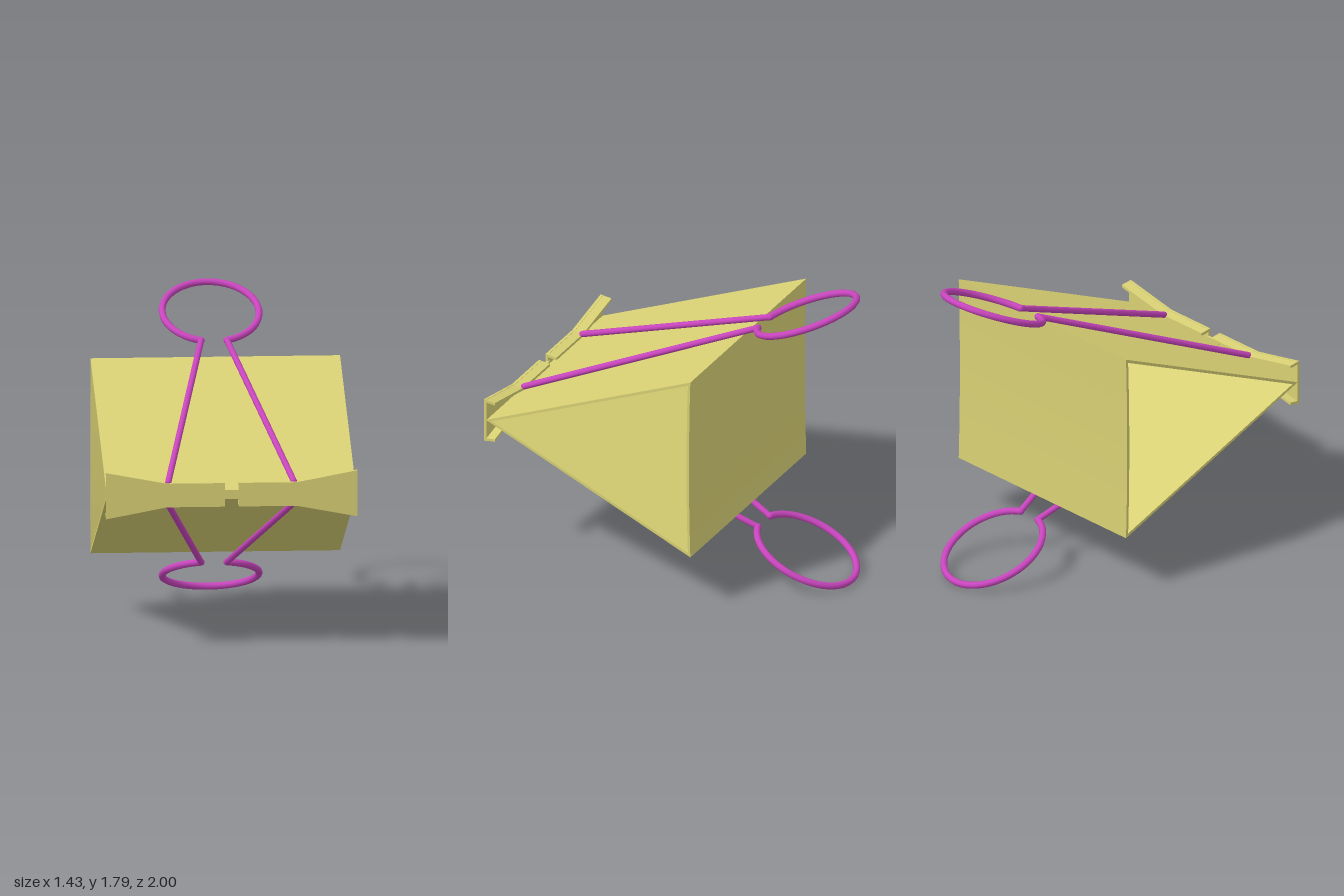
import * as THREE from 'three';

const MID = 0.896; // height of the symmetry plane
const yellow = new THREE.MeshStandardMaterial({ color: 0xd8d074, flatShading: true });
const purple = new THREE.MeshStandardMaterial({ color: 0xc845bd });

function mesh(name, geometry, material) {
  const m = new THREE.Mesh(geometry, material);
  m.name = name;
  return m;
}

// Triangular sheet-metal sleeve, open at both sides, with a slightly bowed back
function sleeve() {
  const outer = new THREE.Shape();
  outer.moveTo(0.99, 0);
  outer.lineTo(-0.32, 0.562);
  outer.quadraticCurveTo(-0.302, 0, -0.32, -0.562);
  outer.closePath();
  const inner = new THREE.Path();
  inner.moveTo(0.951, 0);
  inner.lineTo(-0.304, 0.537);
  inner.quadraticCurveTo(-0.286, 0, -0.304, -0.537);
  inner.closePath();
  outer.holes.push(inner);
  const g = new THREE.ExtrudeGeometry(outer, { depth: 1.42, bevelEnabled: false, curveSegments: 8 });
  g.translate(0, 0, -0.71).rotateY(-Math.PI / 2);
  return mesh('sleeve', g, yellow);
}

// Half height of the flared lip at a distance x from the middle
const lipHeight = (x) => 0.068 + Math.max(0, x - 0.37) * 0.188;

// One half of the lip: a front plate with a flange folded back along each edge
function lipHalf() {
  const group = new THREE.Group();
  const xs = [0.04, 0.37, 0.715];
  const t = 0.016;
  const bar = (name, depth, place) => {
    const g = new THREE.BoxGeometry(2, 2, depth, 2, 1, 1);
    const p = g.attributes.position;
    for (let i = 0; i < p.count; i++) {
      const x = xs[Math.round(p.getX(i)) + 1];
      p.setXYZ(i, x, place(p.getY(i), lipHeight(x), p.getZ(i)), p.getZ(i) + 1 - depth / 2);
    }
    g.computeVertexNormals();
    group.add(mesh(name, g, yellow));
  };
  bar('lipPlate', t, (v, h) => v * h);
  for (const s of [1, -1]) {
    bar('lipFlange', 0.07, (v, h, z) => s * (h - t / 2) + v * t / 2 + s * (z - 0.035) * 0.12);
  }
  return group;
}

// Wire handle: two converging legs and an open loop, all in one sloping plane
function handle() {
  const group = new THREE.Group();
  const onPlane = (x, z) => new THREE.Vector3(x, 0.639 + 0.426 * (-0.42 - z), z);
  const gap = 0.27; // half angle of the loop's opening
  const pts = [];
  for (let i = 0; i <= 40; i++) {
    const a = gap + (i / 40) * (2 * Math.PI - 2 * gap);
    pts.push(onPlane(0.275 * Math.sin(a), -0.695 + 0.285 * Math.cos(a)));
  }
  const loop = new THREE.CatmullRomCurve3(pts);
  group.add(mesh('handleLoop', new THREE.TubeGeometry(loop, 64, 0.02, 10), purple));
  for (const s of [1, -1]) {
    const top = pts[s > 0 ? 0 : 40];
    const leg = new THREE.LineCurve3(onPlane(s * 0.357, 0.93), top);
    group.add(mesh('handleLeg', new THREE.TubeGeometry(leg, 1, 0.018, 10), purple));
    for (const [end, r] of [[leg.v1, 0.018], [top, 0.02]]) {
      const joint = mesh('handleJoint', new THREE.SphereGeometry(r, 10, 8), purple);
      joint.position.copy(end);
      group.add(joint);
    }
  }
  return group;
}

export function createModel() {
  const model = new THREE.Group();
  model.name = 'binderClip';
  model.add(sleeve());

  // Narrow strip joining the two lip halves
  const bridge = mesh('lipBridge', new THREE.BoxGeometry(0.1, 0.05, 0.014), yellow);
  bridge.position.z = 0.983;
  model.add(bridge);

  // Half turns give the second lip half and the lower handle
  for (const turn of [0, Math.PI]) {
    const lip = lipHalf();
    lip.name = turn ? 'rightLip' : 'leftLip';
    const wire = handle();
    wire.name = turn ? 'lowerHandle' : 'upperHandle';
    lip.rotation.z = wire.rotation.z = turn;
    model.add(lip, wire);
  }

  for (const part of model.children) part.position.y += MID;
  return model;
}
